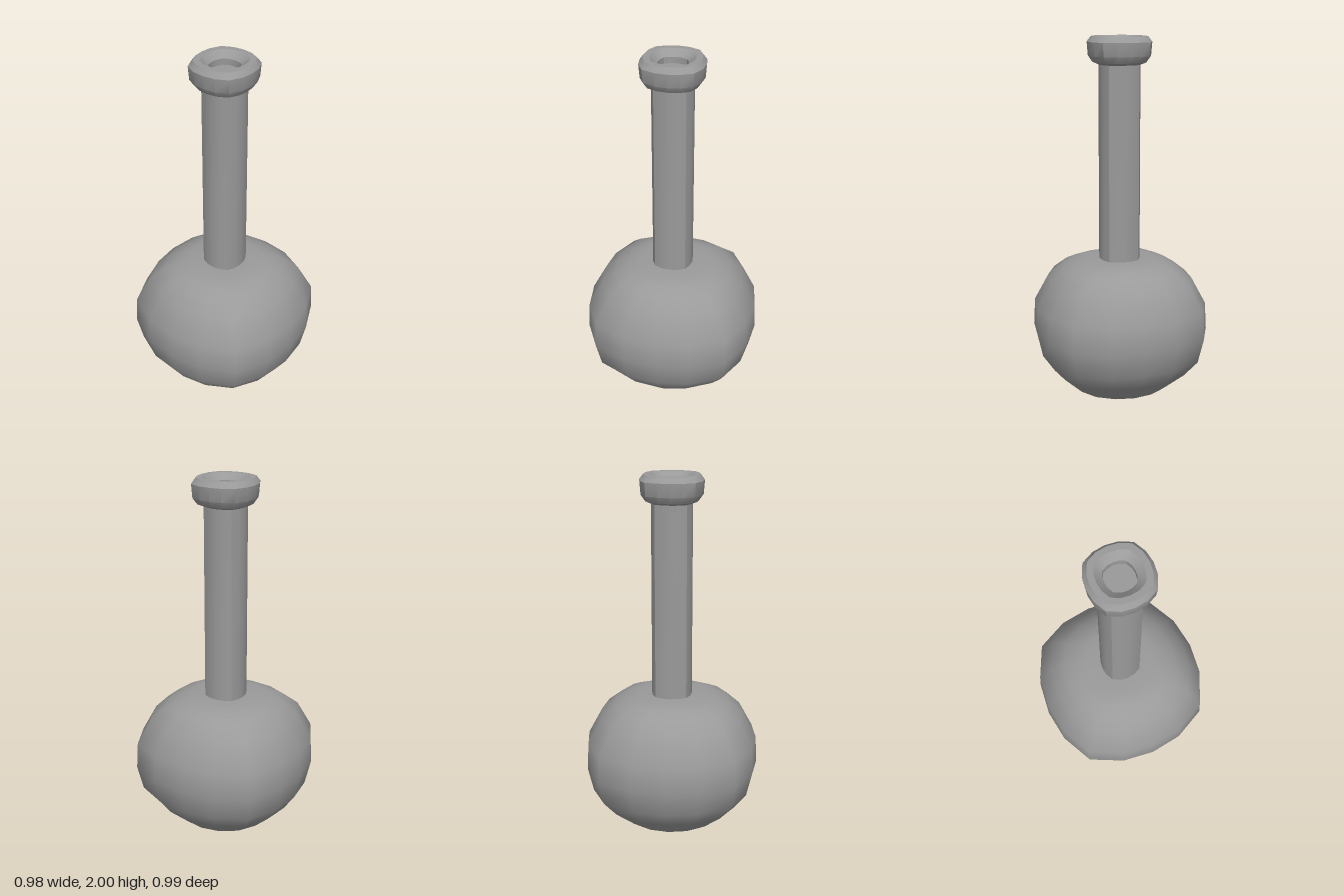
import * as THREE from 'three';
import { toCreasedNormals } from 'three/addons/utils/BufferGeometryUtils.js';

// One quarter of the rounded-square cross-section, turned four times
const QUARTER = [[1, 0], [0.95, 0.385], [0.765, 0.765], [0.385, 0.95]];
const SIDES = 16;
const Z_SCALE = 1.012;

// Outline of the given radius; roundness 1 turns the rounded square into a circle
function section(radius, roundness = 0) {
  const points = [];
  for (let q = 0; q < 4; q++) {
    for (const [x, z] of QUARTER) {
      const r = radius * (1 + (1 / Math.hypot(x, z) - 1) * roundness);
      const [px, pz] = [[x, z], [-z, x], [-x, -z], [z, -x]][q];
      points.push([px * r, pz * r * Z_SCALE]);
    }
  }
  return points;
}

// Skins the cross-section along a profile of [radius, height, roundness]
function loft(profile) {
  const positions = [];
  const indices = [];
  for (const [radius, y, roundness] of profile) {
    for (const [x, z] of section(radius, roundness)) positions.push(x, y, z);
  }
  for (let row = 0; row < profile.length - 1; row++) {
    for (let i = 0; i < SIDES; i++) {
      const a = row * SIDES + i;
      const b = row * SIDES + (i + 1) % SIDES;
      indices.push(a, a + SIDES, b, b, a + SIDES, b + SIDES);
    }
  }
  const geometry = new THREE.BufferGeometry();
  geometry.setAttribute('position', new THREE.Float32BufferAttribute(positions, 3));
  geometry.setIndex(indices);
  geometry.computeVertexNormals();
  return geometry;
}

// Flat lid with the same kind of outline, facing up or down
function disc(radius, y, roundness, up) {
  const shape = new THREE.Shape(
    section(radius, roundness).map(([x, z]) => new THREE.Vector2(x, z)));
  const geometry = new THREE.ShapeGeometry(shape);
  geometry.rotateX(up ? -Math.PI / 2 : Math.PI / 2);
  geometry.translate(0, y, 0);
  return geometry;
}

export function createModel() {
  const group = new THREE.Group();
  const material = new THREE.MeshStandardMaterial({ color: 0x9a9a9a });
  const add = (name, geometry) => {
    const mesh = new THREE.Mesh(geometry, material);
    mesh.name = name;
    group.add(mesh);
  };

  // Smooth round body with a flat shoulder and base
  add('body', loft([
    [0.28, 0, 0.8], [0.392, 0.105, 0.4], [0.458, 0.2], [0.49, 0.34], [0.482, 0.49],
    [0.403, 0.64], [0.325, 0.703], [0.26, 0.735], [0.2, 0.75], [0.1, 0.752],
  ]));
  add('base', disc(0.28, 0, 0.8, false));

  // Long straight neck, creased at its four corners
  add('neck', toCreasedNormals(loft([[0.113, 0.74], [0.113, 1.86]]), 0.55));

  // Thick rounded lip, its mouth sloping into a shallow well
  add('lip', toCreasedNormals(loft([
    [0.108, 1.845], [0.145, 1.86], [0.169, 1.895], [0.175, 1.97], [0.153, 2],
    [0.12, 2], [0.08, 1.965], [0.08, 1.93],
  ]), 0.55));
  add('mouthFloor', disc(0.08, 1.93, 0, true));

  return group;
}
